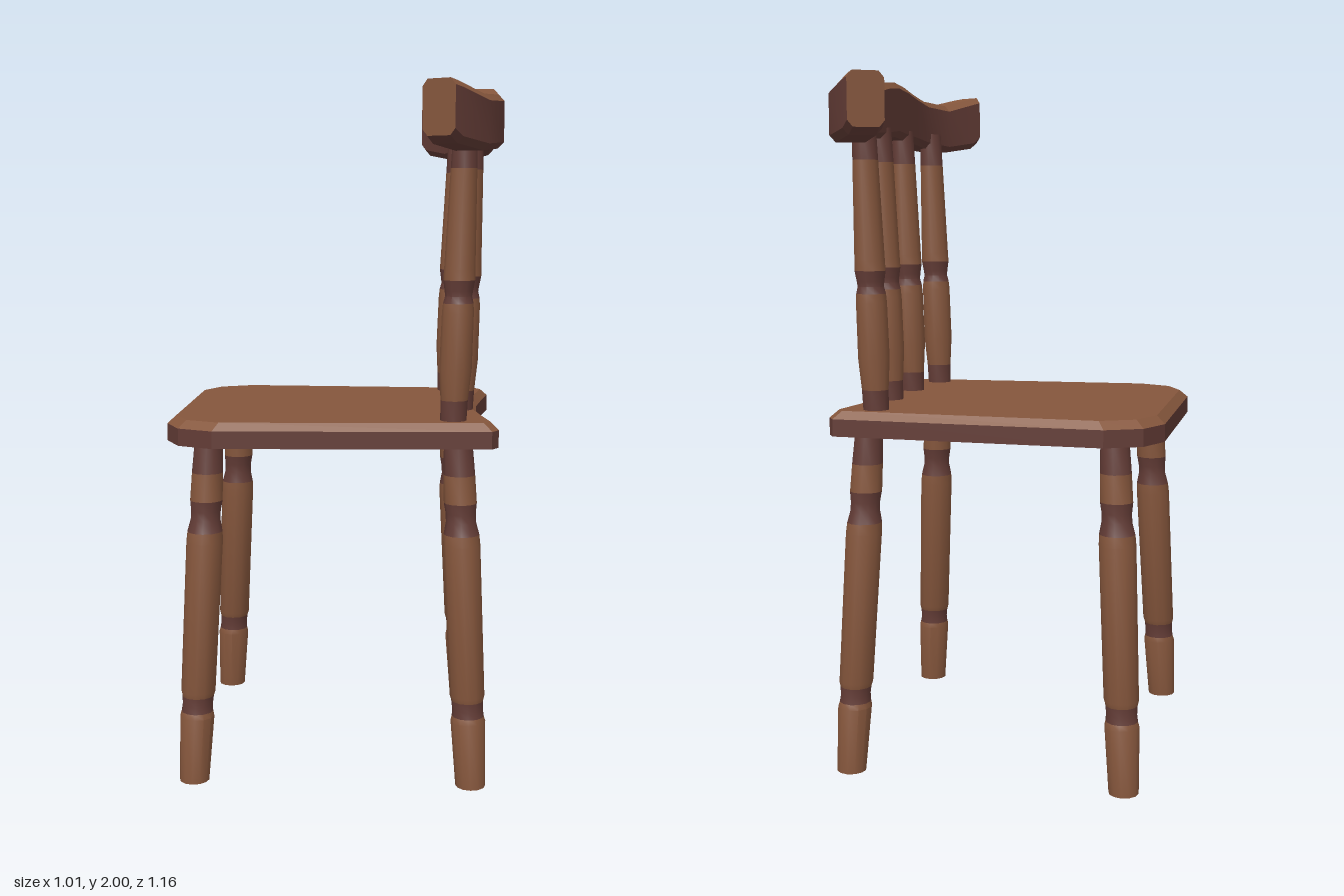
import * as THREE from 'three';
import { toCreasedNormals } from 'three/addons/utils/BufferGeometryUtils.js';

const wood = new THREE.MeshStandardMaterial({ color: 0x85563c });
wood.name = 'brown wood';
const dark = new THREE.MeshStandardMaterial({ color: 0x633c36 });
dark.name = 'dark red wood';

// Turned post: each band is [material, [radius, y], ...]; sheared to lean from foot to top
function turnedPost(name, bands, [x0, z0], [x1, z1], y0, y1) {
  const post = new THREE.Group();
  post.name = name;
  const h = y1 - y0;
  const lean = new THREE.Matrix4().makeBasis(
    new THREE.Vector3(1, 0, 0),
    new THREE.Vector3((x1 - x0) / h, 1, (z1 - z0) / h),
    new THREE.Vector3(0, 0, 1));
  bands.forEach(([material, ...pts], i) => {
    const profile = pts.map(([r, y]) => new THREE.Vector2(r, y - y0));
    let geo = new THREE.LatheGeometry(profile, 12).applyMatrix4(lean);
    geo = toCreasedNormals(geo, 0.6);
    const mesh = new THREE.Mesh(geo, material);
    mesh.name = name + 'Band' + (i + 1);
    post.add(mesh);
  });
  post.position.set(x0, y0, z0);
  return post;
}

const legBands = [
  [wood, [0, 0], [0.043, 0], [0.05, 0.19], [0.046, 0.205]],
  [dark, [0.046, 0.205], [0.044, 0.225], [0.046, 0.25]],
  [wood, [0.046, 0.25], [0.05, 0.265], [0.053, 0.7], [0.051, 0.73]],
  [dark, [0.051, 0.73], [0.043, 0.765], [0.043, 0.79], [0.047, 0.82]],
  [wood, [0.047, 0.82], [0.045, 0.9]],
  [dark, [0.045, 0.9], [0.041, 0.985]],
];
const spindleBands = [
  [dark, [0.037, 1.04], [0.039, 1.11]],
  [wood, [0.039, 1.11], [0.046, 1.2], [0.045, 1.36], [0.043, 1.385]],
  [dark, [0.043, 1.385], [0.038, 1.405], [0.04, 1.42], [0.045, 1.45]],
  [wood, [0.045, 1.45], [0.044, 1.48], [0.037, 1.76]],
  [dark, [0.037, 1.76], [0.034, 1.86]],
];

// Seat: tapered outline with cut corners and a hollowed back edge
function makeSeat() {
  const half = [
    [-0.487, 0.3], [-0.44, 0.398], [-0.337, 0.447], [0.45, 0.412],
    [0.47, 0.38], [0.445, 0.24], [0.425, 0.11],
  ];
  const outline = [...half, [0.42, 0], ...half.map(([x, z]) => [x, -z]).reverse()];
  const shape = new THREE.Shape(outline.map(([x, z]) => new THREE.Vector2(x, z)));
  const slab = (depth) => new THREE.ExtrudeGeometry(shape, { depth, bevelEnabled: false });

  const seat = new THREE.Group();
  seat.name = 'seat';
  const base = new THREE.Mesh(slab(0.05).rotateX(-Math.PI / 2), [wood, dark]);
  base.name = 'seatSlab';
  base.position.y = 0.98;

  // Sloped rim: the upper face is drawn inward
  const rim = slab(0.022);
  const p = rim.attributes.position;
  for (let i = 0; i < p.count; i++) {
    if (p.getZ(i) > 0.01) p.setXY(i, p.getX(i) * 0.95, p.getY(i) * 0.95);
  }
  rim.rotateX(-Math.PI / 2);
  rim.computeVertexNormals();
  const top = new THREE.Mesh(rim, wood);
  top.name = 'seatTop';
  top.position.y = 1.03;
  seat.add(base, top);
  return seat;
}

// Crest rail: bevelled cross-sections swept along its bow
function makeRail() {
  // inner x, inner z, outer x, outer z, bottom, top
  const half = [
    [0.366, 0.1, 0.47, 0.1, 1.83, 1.992],
    [0.365, 0.19, 0.474, 0.19, 1.825, 1.978],
    [0.36, 0.3, 0.476, 0.29, 1.815, 1.963],
    [0.322, 0.41, 0.428, 0.455, 1.805, 1.955],
    [0.262, 0.5, 0.355, 0.555, 1.82, 1.982],
    [0.247, 0.522, 0.333, 0.58, 1.84, 1.988],
  ];
  const stations = [
    ...half.map(([a, b, c, d, e, f]) => [a, -b, c, -d, e, f]).reverse(),
    [0.366, 0, 0.47, 0, 1.838, 2],
    ...half,
  ];
  const rings = stations.map(([xi, zi, xo, zo, lo, hi]) => {
    const at = (u, y) => new THREE.Vector3(xi + (xo - xi) * u, y, zi + (zo - zi) * u);
    return [
      at(0.15, lo), at(0.85, lo), at(1, lo + 0.018), at(1, hi - 0.018),
      at(0.85, hi), at(0.15, hi), at(0, hi - 0.018), at(0, lo + 0.018),
    ];
  });
  const verts = [[], []]; // wood, dark
  const tri = (list, ...pts) => pts.forEach((v) => list.push(v.x, v.y, v.z));
  for (let s = 0; s < rings.length - 1; s++) {
    for (let k = 0; k < 8; k++) {
      const n = (k + 1) % 8;
      const [a, b, c, d] = [rings[s][k], rings[s][n], rings[s + 1][n], rings[s + 1][k]];
      const list = verts[k >= 3 && k <= 5 ? 0 : 1];
      tri(list, a, b, c);
      tri(list, a, c, d);
    }
  }
  // End faces
  const last = rings[rings.length - 1];
  for (let k = 1; k < 7; k++) {
    tri(verts[0], rings[0][0], rings[0][k + 1], rings[0][k]);
    tri(verts[0], last[0], last[k], last[k + 1]);
  }
  const rail = new THREE.Group();
  rail.name = 'crestRail';
  verts.forEach((list, i) => {
    const geo = new THREE.BufferGeometry();
    geo.setAttribute('position', new THREE.Float32BufferAttribute(list, 3));
    geo.computeVertexNormals();
    const mesh = new THREE.Mesh(toCreasedNormals(geo, 0.35), i ? dark : wood);
    mesh.name = i ? 'railFaces' : 'railTopAndEnds';
    rail.add(mesh);
  });
  return rail;
}

export function createModel() {
  const model = new THREE.Group();
  model.name = 'chair';
  const chair = new THREE.Group();
  chair.name = 'chairBody';
  chair.add(makeSeat(), makeRail());

  for (const side of [1, -1]) {
    // Splayed legs
    for (const end of [1, -1]) {
      chair.add(turnedPost(end < 0 ? 'frontLeg' : 'backLeg', legBands,
        [end * 0.401, side * 0.436], [end * 0.357, side * 0.365], 0, 0.98));
    }
    // Back spindles
    for (const [x, z] of [[0.342, 0.34], [0.368, 0.113]]) {
      chair.add(turnedPost('backSpindle', spindleBands,
        [x, side * z], [x + 0.025, side * z], 1.04, 1.86));
    }
  }
  // The chair stands turned slightly
  chair.rotation.y = -0.088;
  chair.position.set(0.003, 0, -0.033);
  model.add(chair);
  return model;
}
